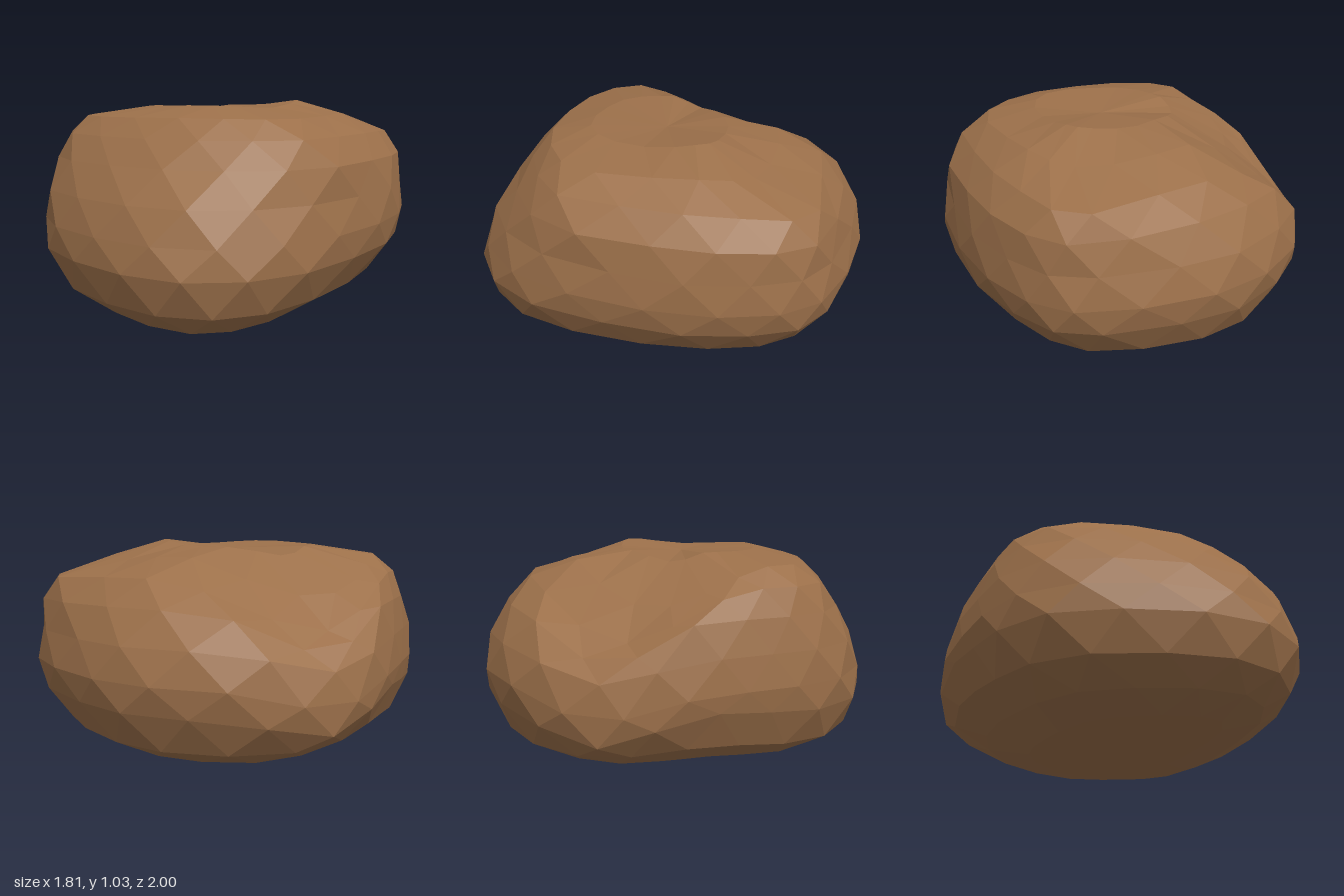
import * as THREE from 'three';

// Widest outline seen from above (x, z), running from the back round the right side
const OUTLINE = [
  [-0.12, -1], [0.2, -0.98], [0.47, -0.85], [0.76, -0.64], [0.88, -0.46], [0.89, -0.22],
  [0.84, 0.08], [0.69, 0.42], [0.5, 0.74], [0.27, 0.93], [0, 1], [-0.29, 0.92],
  [-0.58, 0.74], [-0.81, 0.52], [-0.9, 0.25], [-0.89, 0], [-0.87, -0.25],
  [-0.81, -0.53], [-0.68, -0.74], [-0.44, -0.92],
];

// Levels from bottom to top: height, then reach to -x, +x, +z and -z
const LEVELS = [
  [0.015, 0.45, 0.3, 0.65, 0.5],
  [0.06, 0.65, 0.55, 0.84, 0.74],
  [0.15, 0.81, 0.74, 0.95, 0.9],
  [0.32, 0.885, 0.87, 1, 0.98],
  [0.45, 0.9, 0.9, 0.97, 1],
  [0.6, 0.885, 0.885, 0.905, 0.96],
  [0.75, 0.85, 0.85, 0.79, 0.87],
  [0.87, 0.8, 0.74, 0.69, 0.75],
  [0.955, 0.71, 0.58, 0.6, 0.54],
  [1.0, 0.4, 0.34, 0.4, 0.28],
];

const bump = (x, z, cx, cz, r) => Math.exp(-((x - cx) ** 2 + (z - cz) ** 2) / (r * r));

// Uneven top, slope to the back left, tilted underside and the rim at the back right
function weather(x, y, z) {
  const p = new THREE.Vector3(x, y, z);
  if (y > 0.9) {
    p.y += 0.035 * bump(x, z, 0.36, -0.12, 0.2) - 0.03 * bump(x, z, 0.5, -0.38, 0.2);
    p.y += 0.015 * bump(x, z, -0.05, 0.38, 0.25) - 0.02 * bump(x, z, 0.05, 0.02, 0.25);
  }
  if (y > 0.7 && y < 0.9) {
    const rim = bump(x, z, 0.68, -0.48, 0.28) * (y - 0.65) * 0.4;
    p.x += rim;
    p.z -= rim * 0.8;
    p.y -= rim * 0.2;
  }
  // Fuller shoulder at the front right
  if (y > 0.7 && y < 0.97) {
    const shoulder = bump(x, z, 0.42, 0.48, 0.25);
    p.x += 0.03 * shoulder;
    p.z += 0.07 * shoulder;
  }
  if (y > 0.5) {
    const slope = 1.148 + 0.378 * (x + z) + 0.1 * Math.max(0, z - x - 0.1);
    p.y = Math.min(p.y, slope);
  }
  if (y > 0.3) p.y -= 0.1 * bump(x, z, -0.68, -0.74, 0.28);
  if (y < 0.1) p.y += 0.025 * (x * 0.6 - z) * (1 - y * 10);
  if (y > 0.03 && y < 0.4) p.y += 0.05 * bump(x, z, -0.8, -0.3, 0.35);
  p.y = Math.max(0, p.y);
  return p;
}

function createBoulderGeometry() {
  const n = OUTLINE.length;
  const curve = new THREE.CatmullRomCurve3(
    OUTLINE.map(([x, z]) => new THREE.Vector3(x, 0, z)), true);

  // Every second ring is shifted by half a step for irregular facets
  const rings = LEVELS.map(([y, left, right, front, back], level) =>
    Array.from({ length: n }, (_, i) => {
      const p = curve.getPoint(((i + ((level + 1) % 2) * 0.5) / n) % 1);
      const x = p.x * (p.x < 0 ? left / 0.9 : right / 0.89);
      const z = p.z * (p.z < 0 ? back : front);
      return weather(x, y, z);
    }));

  const positions = [];
  const triangle = (...points) => points.forEach((p) => positions.push(p.x, p.y, p.z));

  // Sides
  for (let r = 0; r < rings.length - 1; r++) {
    const a = rings[r], b = rings[r + 1];
    for (let i = 0; i < n; i++) {
      const j = (i + 1) % n;
      if (r % 2 === 1) {
        triangle(a[i], b[i], a[j]);
        triangle(a[j], b[i], b[j]);
      } else {
        triangle(a[i], b[i], b[j]);
        triangle(a[i], b[j], a[j]);
      }
    }
  }

  // Underside and top
  const bottom = new THREE.Vector3(-0.1, 0.005, 0.1);
  const top = weather(0, 1, 0.02);
  const first = rings[0], last = rings[rings.length - 1];
  for (let i = 0; i < n; i++) {
    const j = (i + 1) % n;
    triangle(bottom, first[i], first[j]);
    triangle(top, last[j], last[i]);
  }

  const geometry = new THREE.BufferGeometry();
  geometry.setAttribute('position', new THREE.Float32BufferAttribute(positions, 3));
  geometry.computeVertexNormals();
  return geometry;
}

export function createModel() {
  const group = new THREE.Group();
  group.name = 'rock';
  const material = new THREE.MeshStandardMaterial({ color: 0x9c704a, flatShading: true });
  const boulder = new THREE.Mesh(createBoulderGeometry(), material);
  boulder.name = 'boulder';
  group.add(boulder);
  return group;
}
